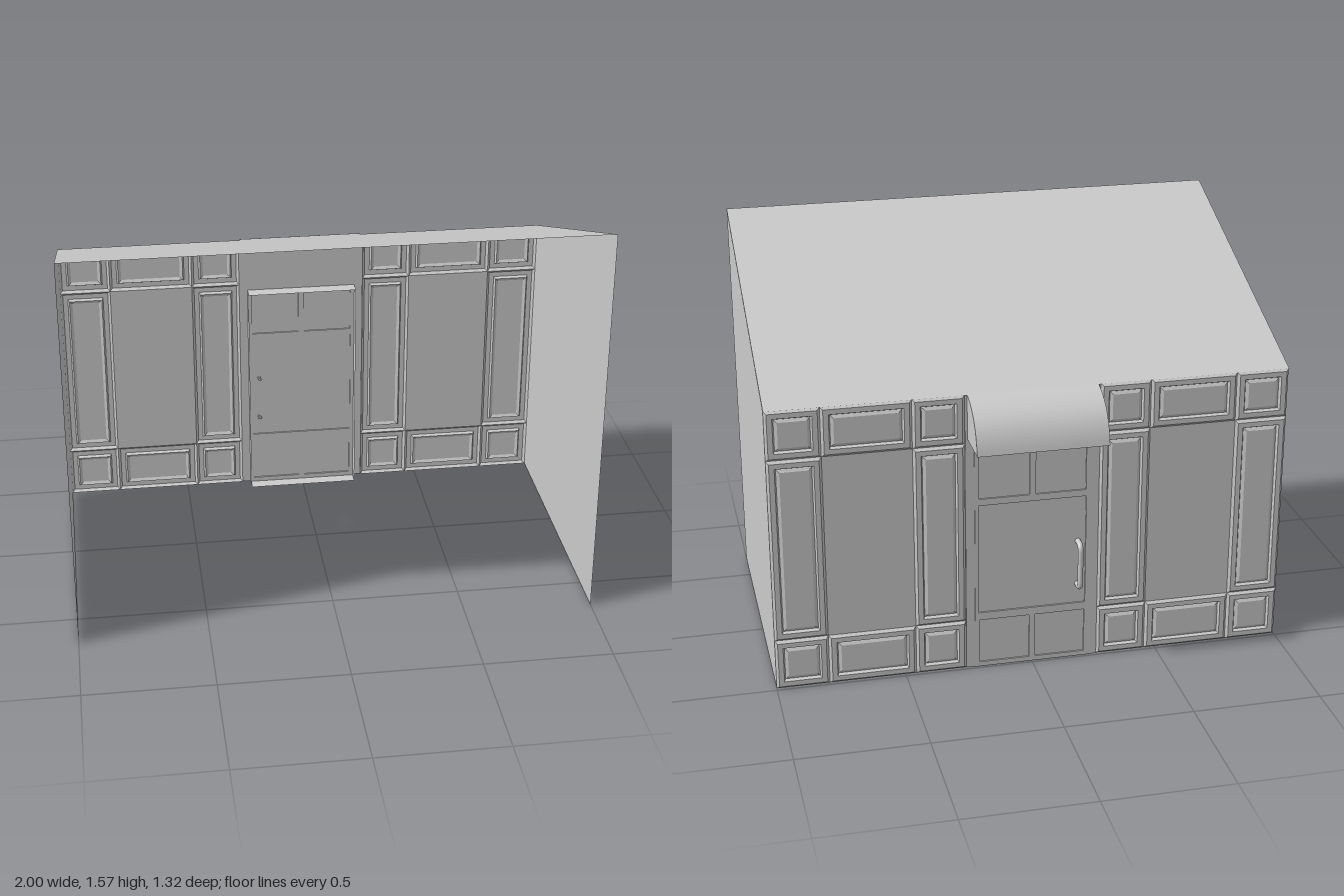
import * as THREE from 'three';

const mat = new THREE.MeshStandardMaterial({ color: 0xcccccc, side: THREE.DoubleSide });
const BACK = -0.484; // plane of the thin facade sheet
const OUT = -0.495; // raised mouldings
const EAVE = 1.14, RIDGE = 1.572, DEPTH = 0.662;
const DOOR_W = 0.225, DOOR_H = 0.915, BAY = 0.26;

function add(group, name, geometry) {
  const mesh = new THREE.Mesh(geometry, mat);
  mesh.name = name;
  group.add(mesh);
  return mesh;
}

// Flat-shaded sheet made of four-cornered faces
function quads(list) {
  const pos = [];
  for (const [a, b, c, d] of list) pos.push(...a, ...b, ...c, ...a, ...c, ...d);
  const g = new THREE.BufferGeometry();
  g.setAttribute('position', new THREE.Float32BufferAttribute(pos, 3));
  g.computeVertexNormals();
  return g;
}

// Rectangle corners, ordered to face the street (-z)
function rect(x0, x1, y0, y1, inset, z) {
  return [
    [x0 + inset, y0 + inset, z], [x0 + inset, y1 - inset, z],
    [x1 - inset, y1 - inset, z], [x1 - inset, y0 + inset, z],
  ];
}

// Moulded panel: nested rectangular rings stepping in and out
function mouldedPanel(x0, x1, y0, y1) {
  const steps = [[0, BACK], [0.01, OUT], [0.03, OUT], [0.036, BACK + 0.002], [0.048, BACK - 0.005]];
  const rings = steps.map(([inset, z]) => rect(x0, x1, y0, y1, inset, z));
  const faces = [rings[rings.length - 1]];
  for (let i = 0; i < rings.length - 1; i++) {
    for (let k = 0; k < 4; k++) {
      const n = (k + 1) % 4;
      faces.push([rings[i][k], rings[i][n], rings[i + 1][n], rings[i + 1][k]]);
    }
  }
  return quads(faces);
}

function rectShape(Type, x0, x1, y0, y1) {
  const s = new Type();
  s.moveTo(x0, y0).lineTo(x1, y0).lineTo(x1, y1).lineTo(x0, y1).lineTo(x0, y0);
  return s;
}

// Sheet drawn in (z, y) and placed at a given x
function sideSheet(points, x) {
  const shape = new THREE.Shape(points.map(([z, y]) => new THREE.Vector2(z, y)));
  return new THREE.ShapeGeometry(shape).rotateY(-Math.PI / 2).translate(x, 0, 0);
}

function buildShell(group) {
  for (const [s, name] of [[1, 'leftWall'], [-1, 'rightWall']]) {
    add(group, name, sideSheet([[BACK, 0], [DEPTH, 0], [DEPTH, RIDGE], [BACK, EAVE]], s));
  }
  add(group, 'roof', quads([[[-1, EAVE, BACK - 0.008], [-1, RIDGE, DEPTH], [1, RIDGE, DEPTH], [1, EAVE, BACK - 0.008]]]));
}

function buildFacade(group) {
  const cols = [BAY, 0.457, 0.795, 1];
  const rows = [0, 0.204, 0.943, EAVE];
  for (const s of [-1, 1]) {
    for (let c = 0; c < 3; c++) {
      const [x0, x1] = s > 0 ? [cols[c], cols[c + 1]] : [-cols[c + 1], -cols[c]];
      for (let r = 0; r < 3; r++) {
        const isWindow = c === 1 && r === 1;
        add(group, isWindow ? 'windowPane' : 'facadePanel', isWindow
          ? quads([rect(x0, x1, rows[r], rows[r + 1], 0, BACK)])
          : mouldedPanel(x0, x1, rows[r], rows[r + 1]));
      }
    }
  }
  // Wall around the doorway
  const wall = rectShape(THREE.Shape, -BAY, BAY, 0, EAVE);
  wall.holes.push(rectShape(THREE.Path, -DOOR_W, DOOR_W, 0.0005, DOOR_H));
  add(group, 'doorSurround', new THREE.ShapeGeometry(wall).translate(0, 0, BACK - 0.003));
}

function buildDoor(group) {
  const door = new THREE.Group();
  door.name = 'door';
  group.add(door);

  // Lining that runs inward around the opening, with its threshold
  const w = DOOR_W, h = DOOR_H, za = BACK - 0.006, zb = -0.43;
  const loop = [[-w, 0], [w, 0], [w, h], [-w, h]];
  add(door, 'doorLining', quads(loop.map(([x, y], i) => {
    const [x2, y2] = loop[(i + 1) % 4];
    return [[x, y, za], [x2, y2, za], [x2, y2, zb], [x, y, zb]];
  })));

  // Stiles and rails with openings for the inset panels
  const frame = rectShape(THREE.Shape, -w, w, 0.001, h);
  const openings = [[-0.21, 0.21, 0.235, 0.688]];
  for (const [y0, y1] of [[0.02, 0.203], [0.715, 0.897]]) {
    openings.push([-0.208, -0.012, y0, y1], [0.012, 0.208, y0, y1]);
  }
  for (const o of openings) frame.holes.push(rectShape(THREE.Path, ...o));
  add(door, 'doorFrame', new THREE.ExtrudeGeometry(frame, { depth: 0.012, bevelEnabled: false }).translate(0, 0, -0.491));
  for (const [x0, x1, y0, y1] of openings) {
    add(door, 'doorPanel', quads([rect(x0, x1, y0, y1, 0, -0.485)]));
  }

  // Pull handle with rounded bends and small inside bolts
  const hx = -0.18, y0 = 0.316, y1 = 0.499, zo = -0.531, b = 0.025;
  const v = (y, z) => new THREE.Vector3(hx, y, z);
  const path = new THREE.CurvePath();
  path.add(new THREE.LineCurve3(v(y0, -0.483), v(y0, zo + b)));
  path.add(new THREE.QuadraticBezierCurve3(v(y0, zo + b), v(y0, zo), v(y0 + b, zo)));
  path.add(new THREE.LineCurve3(v(y0 + b, zo), v(y1 - b, zo)));
  path.add(new THREE.QuadraticBezierCurve3(v(y1 - b, zo), v(y1, zo), v(y1, zo + b)));
  path.add(new THREE.LineCurve3(v(y1, zo + b), v(y1, -0.483)));
  add(door, 'doorHandle', new THREE.TubeGeometry(path, 48, 0.011, 12));
  for (const y of [y0, y1]) {
    add(door, 'handleBolt', new THREE.CylinderGeometry(0.006, 0.006, 0.01, 12).rotateX(Math.PI / 2).translate(hx, y, -0.48));
  }
}

function buildAwning(group) {
  const awning = new THREE.Group();
  awning.name = 'awning';
  group.add(awning);
  // Hollow curved hood, open underneath
  const curve = new THREE.CubicBezierCurve(
    new THREE.Vector2(-0.487, EAVE), new THREE.Vector2(-0.578, 1.122),
    new THREE.Vector2(-0.643, 1.07), new THREE.Vector2(-0.662, 0.963));
  const profile = curve.getPoints(16);
  const hood = new THREE.PlaneGeometry(0.5, 1, 1, 16);
  const p = hood.attributes.position;
  for (let i = 0; i < p.count; i++) {
    const q = profile[Math.floor(i / 2)];
    p.setXYZ(i, -p.getX(i), q.y, q.x);
  }
  hood.computeVertexNormals();
  add(awning, 'awningHood', hood);
  const end = [...profile.map((q) => [q.x, q.y]), [-0.487, 0.963]];
  for (const s of [-1, 1]) add(awning, 'awningEnd', sideSheet(end, s * 0.25));
}

export function createModel() {
  const model = new THREE.Group();
  model.name = 'shopfront';
  buildShell(model);
  buildFacade(model);
  buildDoor(model);
  buildAwning(model);
  return model;
}
